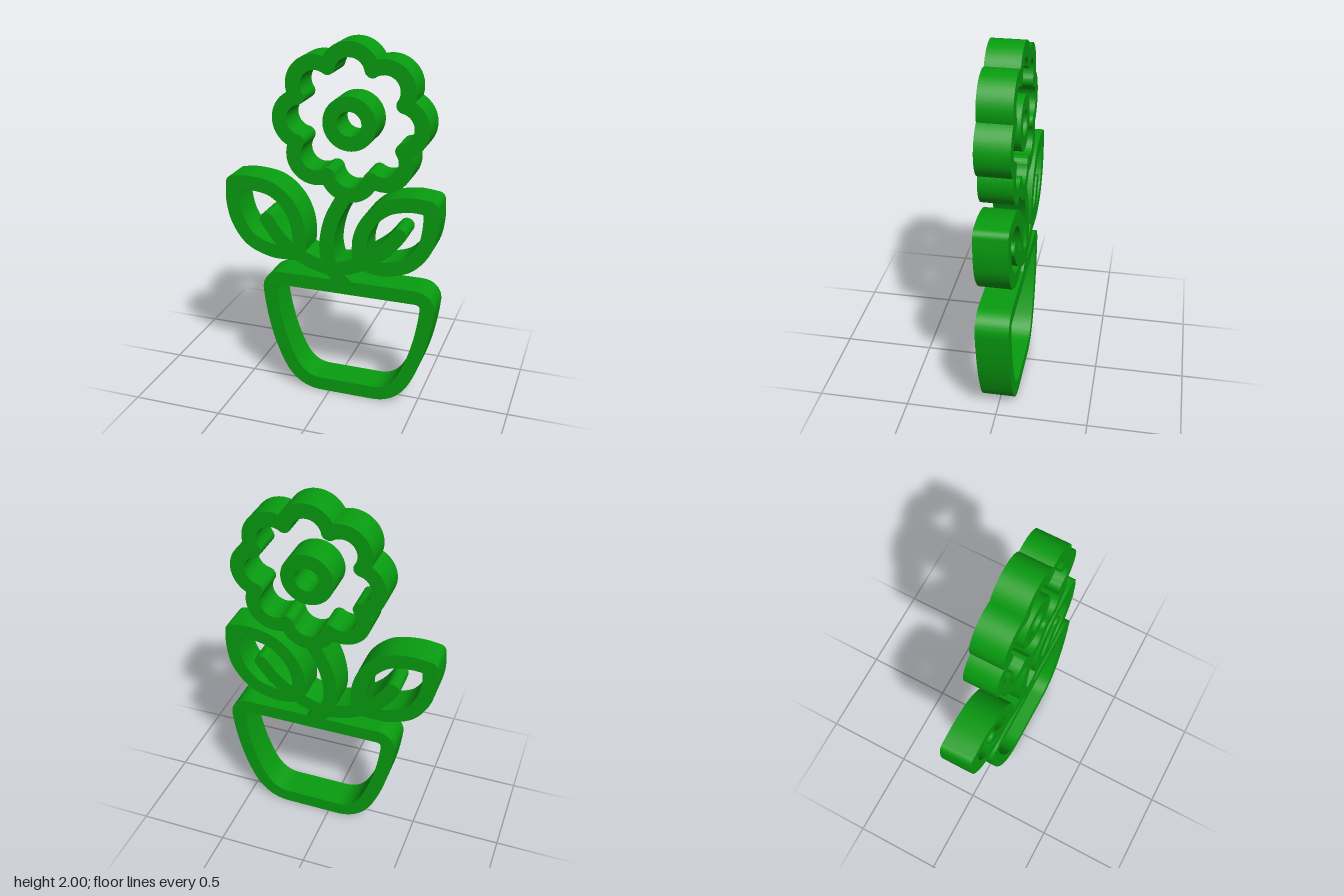
import * as THREE from 'three';
import { toCreasedNormals } from 'three/addons/utils/BufferGeometryUtils.js';

const DEPTH = 0.176;
const R = 0.04; // half the line width
const FLOWER = [0.109, 1.58];
const POT_X = 0.1;
const material = new THREE.MeshStandardMaterial({ color: 0x089c10 });

const toV2 = (list) => list.map(([x, y]) => new THREE.Vector2(x, y));

// Flat shape pushed out to the common depth, smooth along its curves
function plate(name, shape) {
  const geo = new THREE.ExtrudeGeometry(shape, { depth: DEPTH, bevelEnabled: false, curveSegments: 32 });
  geo.translate(0, 0, -DEPTH / 2);
  const mesh = new THREE.Mesh(toCreasedNormals(geo, 0.6), material);
  mesh.name = name;
  return mesh;
}

// Points of a line shifted sideways by d
function offset(pts, d, closed) {
  const n = pts.length;
  return pts.map((p, i) => {
    const a = pts[closed ? (i + n - 1) % n : Math.max(i - 1, 0)];
    const b = pts[closed ? (i + 1) % n : Math.min(i + 1, n - 1)];
    const t = b.clone().sub(a).normalize();
    return new THREE.Vector2(p.x - t.y * d, p.y + t.x * d);
  });
}

// Thick line with round ends through a few points
function stroke(name, list) {
  const pts = new THREE.SplineCurve(toV2(list)).getPoints(40);
  const left = offset(pts, R, false);
  const right = offset(pts, -R, false).reverse();
  const cap = (c, from) => {
    const a0 = Math.atan2(from.y - c.y, from.x - c.x);
    return Array.from({ length: 11 }, (_, i) => {
      const a = a0 - ((i + 1) / 12) * Math.PI;
      return new THREE.Vector2(c.x + R * Math.cos(a), c.y + R * Math.sin(a));
    });
  };
  const end = cap(pts[pts.length - 1], left[left.length - 1]);
  const start = cap(pts[0], right[right.length - 1]);
  return plate(name, new THREE.Shape([...left, ...end, ...right, ...start]));
}

// Scalloped outline: eight petal arcs, with round tips between them on the inside
function petals() {
  const [cx, cy] = FLOWER;
  const centre = 0.26, radius = 0.12, cusp = 0.307, step = Math.PI / 4;
  const at = (r, a) => [cx + r * Math.cos(a), cy + r * Math.sin(a)];
  const inward = Math.atan2(cusp * Math.sin(step / 2), cusp * Math.cos(step / 2) - centre);
  const ro = radius + R;
  const valley = centre * Math.cos(step / 2) + Math.sqrt(ro ** 2 - (centre * Math.sin(step / 2)) ** 2);
  const outward = Math.atan2(valley * Math.sin(step / 2), valley * Math.cos(step / 2) - centre);
  const shape = new THREE.Shape();
  const hole = new THREE.Path();
  for (let k = 0; k < 8; k++) {
    const a = k * step;
    const [px, py] = at(centre, a);
    shape.absarc(px, py, ro, a - outward, a + outward, false);
    hole.absarc(px, py, radius - R, a - inward, a + inward, false);
    const [tx, ty] = at(cusp, a + step / 2);
    hole.absarc(tx, ty, R, a + inward + Math.PI, a + step - inward + Math.PI, true);
  }
  shape.holes.push(hole);
  return plate('petals', shape);
}

function flowerCentre() {
  const shape = new THREE.Shape().absarc(...FLOWER, 0.143, 0, Math.PI * 2, false);
  shape.holes.push(new THREE.Path().absarc(...FLOWER, 0.065, 0, Math.PI * 2, true));
  return plate('flowerCentre', shape);
}

// Pot: right half of the middle line, mirrored, then widened both ways
function pot() {
  const half = new THREE.Path();
  half.moveTo(0.375, 0.665);
  half.bezierCurveTo(0.425, 0.665, 0.452, 0.635, 0.447, 0.59);
  half.bezierCurveTo(0.432, 0.44, 0.395, 0.29, 0.336, 0.17);
  half.bezierCurveTo(0.295, 0.085, 0.235, 0.039, 0.15, 0.039);
  const side = half.getPoints(20);
  const line = [
    ...side.map((p) => new THREE.Vector2(POT_X + p.x, p.y)),
    ...side.map((p) => new THREE.Vector2(POT_X - p.x, p.y)).reverse(),
  ];
  const shape = new THREE.Shape(offset(line, 0.039, true));
  // The hole runs the opposite way round, so its walls face inward
  shape.holes.push(new THREE.Path(offset(line, -0.039, true).reverse()));
  return plate('pot', shape);
}

// Leaf: two edges meeting at the tip and base, and a vein running on to the stem
function leaf(name, upper, lower, vein) {
  const group = new THREE.Group();
  group.name = name;
  group.add(stroke('upperEdge', upper), stroke('lowerEdge', lower), stroke('vein', vein));
  return group;
}

export function createModel() {
  const model = new THREE.Group();
  model.name = 'pottedFlower';
  model.add(petals(), flowerCentre(), pot());
  model.add(stroke('stem', [[0.092, 1.2], [0.014, 1.048], [-0.015, 0.89], [0.015, 0.767], [0.095, 0.68]]));
  model.add(leaf('rightLeaf',
    [[-0.55, 1.196], [-0.455, 1.205], [-0.328, 1.183], [-0.236, 1.11], [-0.185, 1.013], [-0.17, 0.915], [-0.177, 0.831]],
    [[-0.55, 1.196], [-0.553, 1.09], [-0.524, 0.975], [-0.452, 0.877], [-0.34, 0.83], [-0.257, 0.825], [-0.177, 0.831]],
    [[-0.357, 1.005], [-0.283, 0.905], [-0.177, 0.825], [-0.071, 0.782], [0.035, 0.765]]));
  model.add(leaf('leftLeaf',
    [[0.546, 1.175], [0.442, 1.183], [0.318, 1.153], [0.222, 1.068], [0.172, 0.955], [0.172, 0.828]],
    [[0.546, 1.175], [0.549, 1.075], [0.523, 0.953], [0.44, 0.85], [0.327, 0.808], [0.246, 0.808], [0.172, 0.828]],
    [[0.384, 1.005], [0.31, 0.915], [0.193, 0.828], [0.103, 0.785], [0, 0.765]]));
  return model;
}
